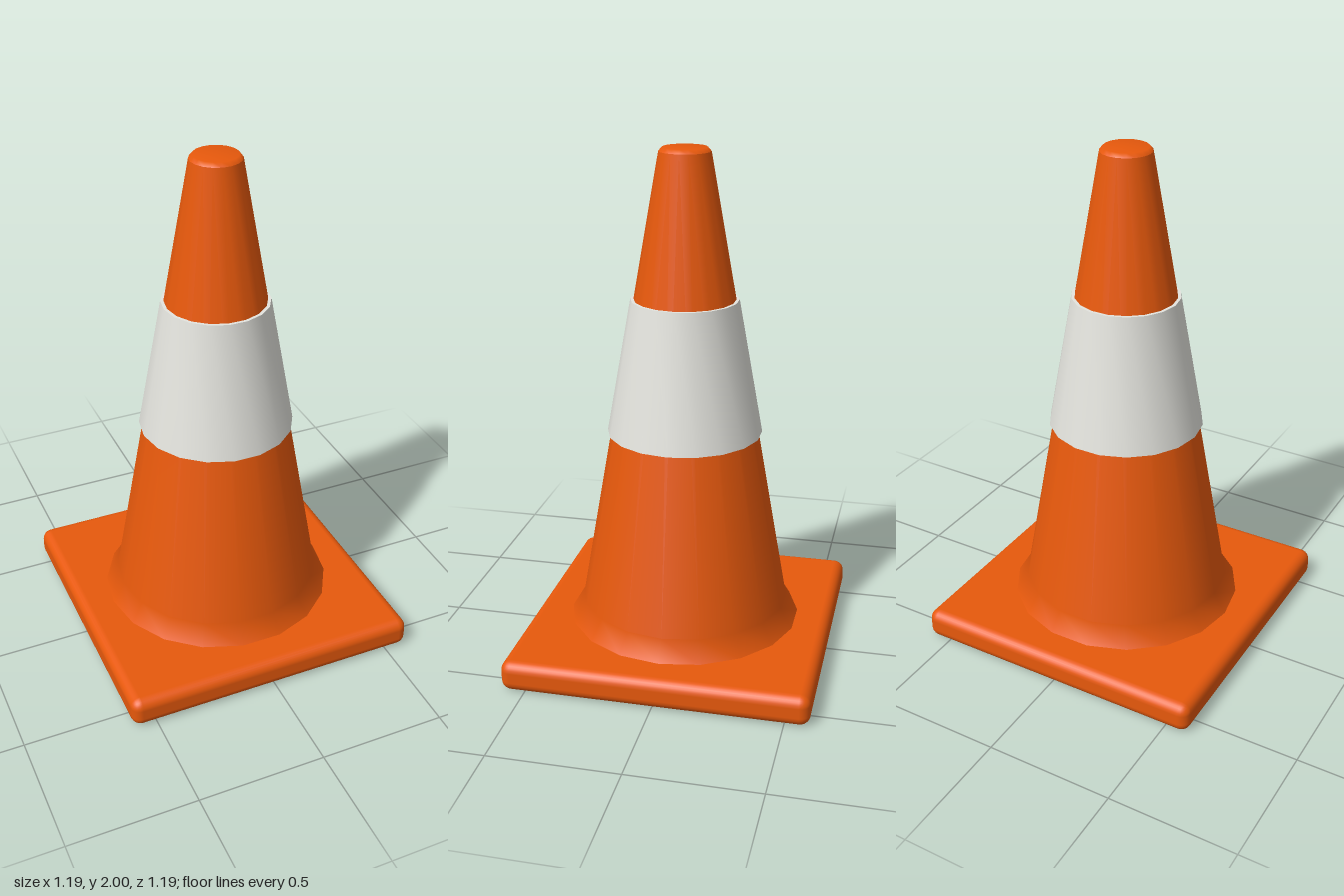
import * as THREE from 'three';
import { toCreasedNormals } from 'three/addons/utils/BufferGeometryUtils.js';
import { RoundedBoxGeometry } from 'three/addons/geometries/RoundedBoxGeometry.js';

const SIDES = 18;

// Turned part with a corner on the x axis
function turned(name, profile, material, crease) {
  const points = profile.map(([r, y]) => new THREE.Vector2(r, y));
  let geometry = new THREE.LatheGeometry(points, SIDES, Math.PI / 2);
  if (crease) geometry = toCreasedNormals(geometry, crease);
  const mesh = new THREE.Mesh(geometry, material);
  mesh.name = name;
  return mesh;
}

export function createModel() {
  const orange = new THREE.MeshStandardMaterial({ color: 0xe8590c });
  orange.name = 'orange rubber';
  const white = new THREE.MeshStandardMaterial({ color: 0xe4e4de });
  white.name = 'white band';

  const group = new THREE.Group();
  group.name = 'trafficCone';

  // Square foot with rounded edges
  const base = new THREE.Mesh(new RoundedBoxGeometry(1.19, 0.12, 1.19, 3, 0.04), orange);
  base.name = 'base';
  base.position.y = 0.06;
  group.add(base);

  // Flared skirt running into the tapered body
  group.add(turned('coneBody', [[0.465, 0.115], [0.412, 0.2], [0.098, 1.985]], orange));

  // Closed tip with a small bevel
  group.add(turned('coneTip', [[0.098, 1.985], [0.085, 2], [0, 2]], orange));

  // Raised sleeve with open rims showing its thickness
  group.add(turned('reflectiveBand',
    [[0.27, 0.9], [0.303, 0.9], [0.208, 1.43], [0.18, 1.43]], white, 0.6));

  return group;
}
